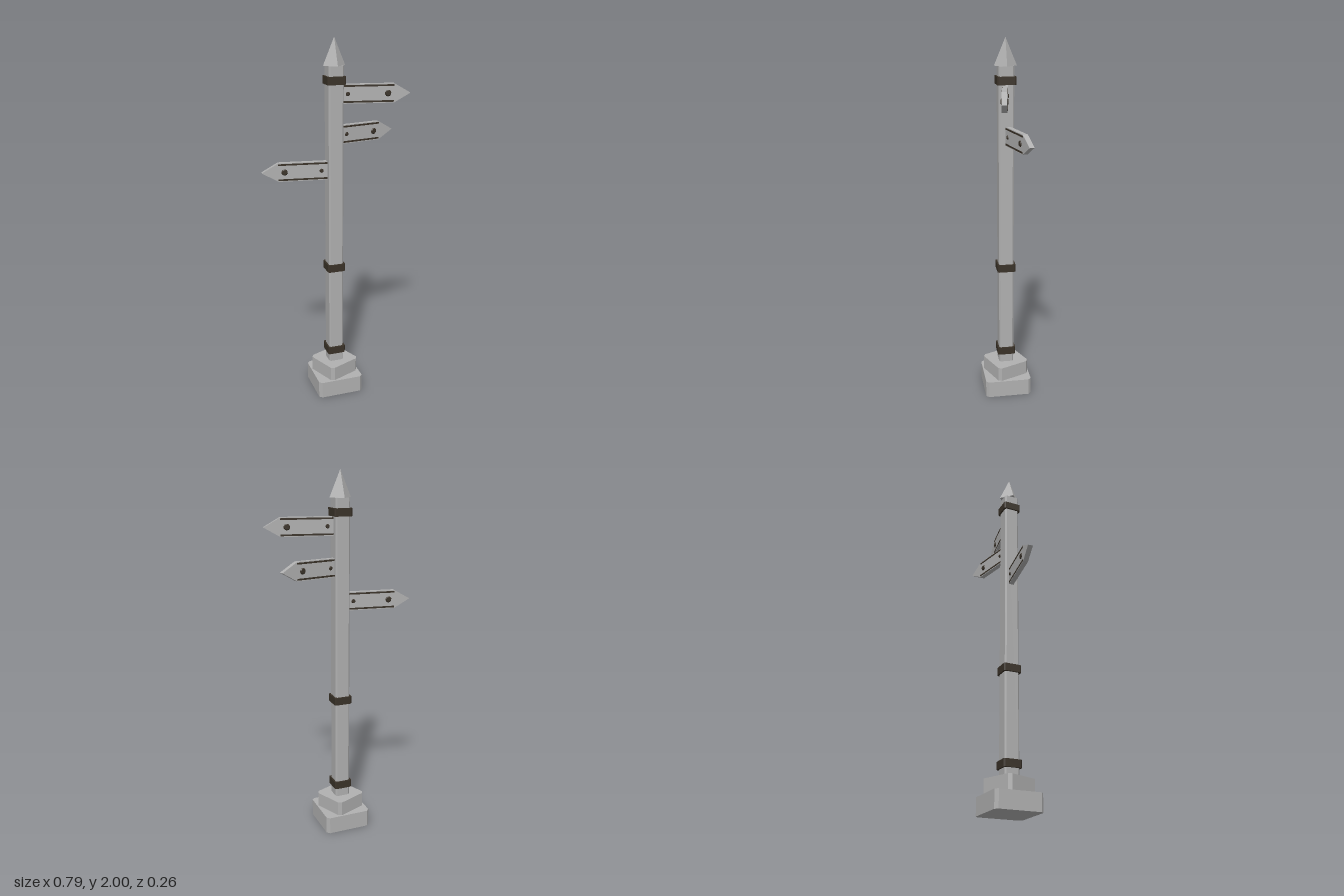
import * as THREE from 'three';

const stone = new THREE.MeshStandardMaterial({ color: 0xb0b0b0 });
stone.name = 'pale grey';
const iron = new THREE.MeshStandardMaterial({ color: 0x3a3228 });
iron.name = 'dark brown iron';

function part(name, geometry, material, parent) {
  const flat = geometry.index ? geometry.toNonIndexed() : geometry;
  flat.computeVertexNormals();
  const mesh = new THREE.Mesh(flat, material);
  mesh.name = name;
  parent.add(mesh);
  return mesh;
}

// Upright square prism with bevelled corners, from y0 to y1
function bevelledPrism(half, bevel, y0, y1) {
  const a = half, b = half - bevel;
  const outline = [[a, -b], [a, b], [b, a], [-b, a], [-a, b], [-a, -b], [-b, -a], [b, -a]];
  const shape = new THREE.Shape(outline.map(([x, y]) => new THREE.Vector2(x, y)));
  return new THREE.ExtrudeGeometry(shape, { depth: y1 - y0, bevelEnabled: false })
    .rotateX(-Math.PI / 2).translate(0, y0, 0);
}

// Arrow board pointing along +x from the post's axis
function arrowSign(name, y, length, degrees, parent) {
  const sign = new THREE.Group();
  sign.name = name;
  sign.position.y = y;
  sign.rotation.y = THREE.MathUtils.degToRad(degrees);
  parent.add(sign);

  const h = 0.05, t = 0.0135, shoulder = length - 0.087;
  const shape = new THREE.Shape([[0, -h], [shoulder, -h], [length, 0], [shoulder, h], [0, h]]
    .map(([x, v]) => new THREE.Vector2(x, v)));
  part('arrowBoard', new THREE.ExtrudeGeometry(shape, { depth: 2 * t, bevelEnabled: false })
    .translate(0, 0, -t), stone, sign);

  for (const side of [-1, 1]) {
    // Trim strips along both long edges
    for (const v of [-0.041, 0.041]) {
      const strip = part('trimStrip', new THREE.BoxGeometry(shoulder - 0.03, 0.009, 0.003), iron, sign);
      strip.position.set((shoulder + 0.03) / 2, v, side * t);
    }
    // Small inner bolt and large outer bolt
    for (const [u, r] of [[0.07, 0.012], [length - 0.12, 0.018]]) {
      const bolt = part('bolt', new THREE.CylinderGeometry(r * 0.7, r, 0.006, 10)
        .rotateX(side * Math.PI / 2), iron, sign);
      bolt.position.set(u, 0, side * (t + 0.002));
    }
  }
}

export function createModel() {
  const model = new THREE.Group();
  model.name = 'signpost';
  const post = new THREE.Group();
  post.name = 'postAssembly';
  post.position.x = -0.007;
  model.add(post);

  // Stepped footing, upper block turned
  part('footing', bevelledPrism(0.13, 0.016, 0, 0.095), stone, post);
  part('upperFooting', bevelledPrism(0.098, 0.016, 0.095, 0.175), stone, post)
    .rotation.y = THREE.MathUtils.degToRad(22.5);

  // Post with pointed cap
  part('shaft', bevelledPrism(0.041, 0.008, 0.175, 1.858), stone, post);
  part('cap', new THREE.ConeGeometry(0.06, 0.142, 4), stone, post).position.y = 1.929;

  // Iron bands
  for (const y of [0.246, 0.757, 1.785]) {
    part('band', bevelledPrism(0.05, 0.007, y - 0.021, y + 0.021), iron, post);
  }

  // Direction boards
  arrowSign('topSign', 1.713, 0.403, -9.8, post);
  arrowSign('middleSign', 1.498, 0.36, 12, post);
  arrowSign('lowerSign', 1.311, 0.388, 171.9, post);
  return model;
}
